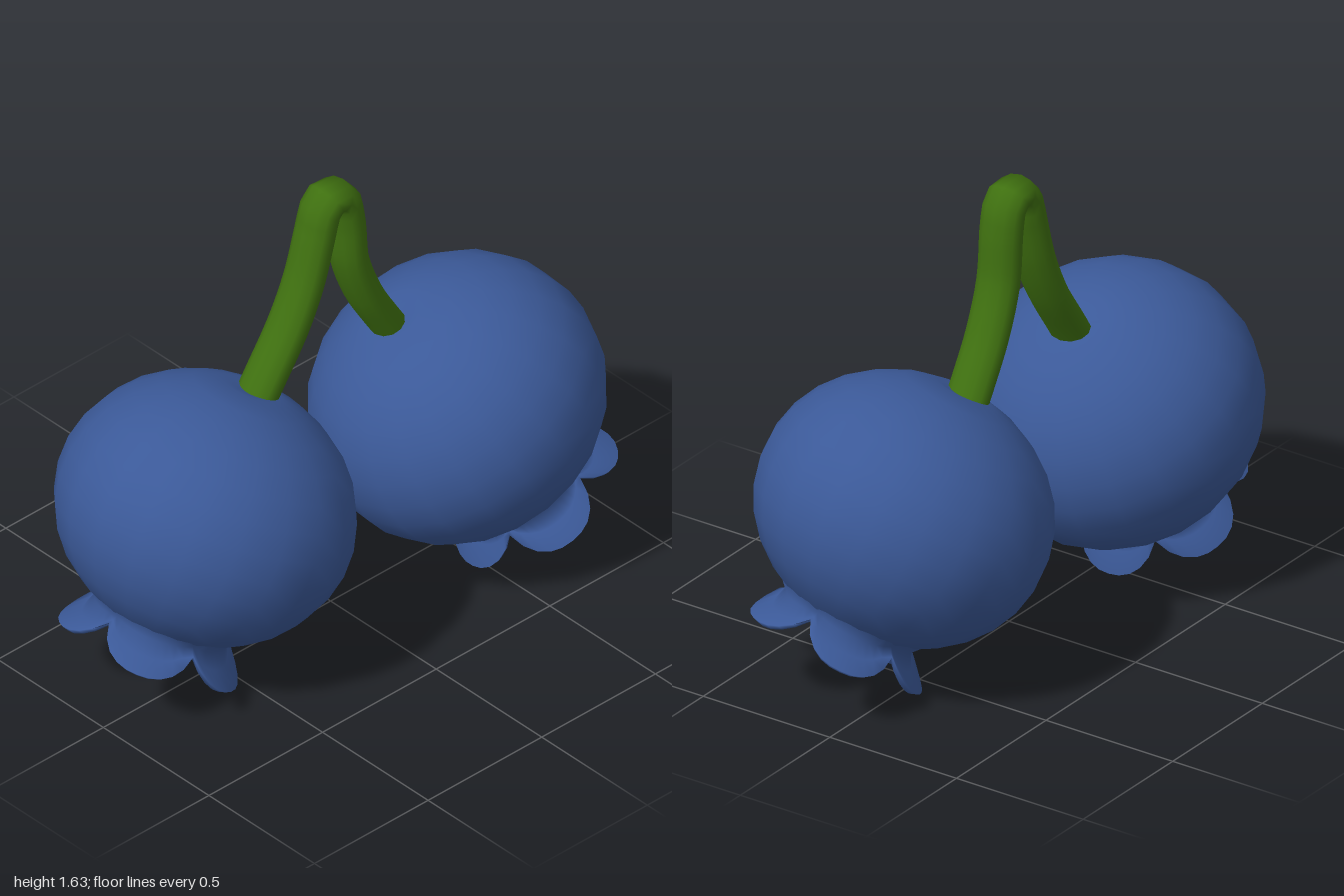
import * as THREE from 'three';

const berryBlue = new THREE.MeshStandardMaterial({ color: 0x3b5998, side: THREE.DoubleSide });
berryBlue.name = 'berryBlue';
const stemGreen = new THREE.MeshStandardMaterial({ color: 0x3f7010 });
stemGreen.name = 'stemGreen';

// Oblate berry body: open under the crown, dimpled at the stem
function bodyGeometry() {
  const points = [];
  const start = Math.asin(0.21 / 0.5), steps = 12;
  for (let i = 0; i <= steps; i++) {
    const a = start + (Math.PI - 0.2 - start) * (i / steps);
    points.push(new THREE.Vector2(0.5 * Math.sin(a), -0.44 * Math.cos(a)));
  }
  points.push(new THREE.Vector2(0, 0.415));
  return new THREE.LatheGeometry(points, 20);
}

// Five-petalled crown: each section is [valley radius, valley depth, tip radius, tip depth]
const sections = [
  [0.27, 0.36, 0.27, 0.36],
  [0.225, 0.395, 0.225, 0.41],
  [0.235, 0.41, 0.25, 0.465],
  [0.25, 0.42, 0.315, 0.512],
  [0.235, 0.425, 0.29, 0.522],
  [0.21, 0.41, 0.22, 0.46],
  [0.17, 0.39, 0.17, 0.39],
  [0.08, 0.365, 0.08, 0.365],
  [0, 0.36, 0, 0.36],
];

function crownGeometry(valleyAngle) {
  const n = 50, positions = [], index = [];
  sections.forEach(([vr, vd, tr, td], j) => {
    for (let i = 0; i < n; i++) {
      const t = i / n;
      const u = Math.abs(((t * 5) % 1) * 2 - 1);
      const petal = 1 - Math.pow(u, 2.5);
      const angle = valleyAngle + t * Math.PI * 2;
      const r = THREE.MathUtils.lerp(vr, tr, petal);
      const depth = THREE.MathUtils.lerp(vd, td, petal);
      positions.push(r * Math.cos(angle), -depth, r * Math.sin(angle));
      if (j < sections.length - 1) {
        const a = j * n + i, b = j * n + (i + 1) % n;
        index.push(a, b, a + n, b, b + n, a + n);
      }
    }
  });
  const geometry = new THREE.BufferGeometry();
  geometry.setAttribute('position', new THREE.Float32BufferAttribute(positions, 3));
  geometry.setIndex(index);
  geometry.computeVertexNormals();
  return geometry;
}

function makeBerry(name, center, axis, valleyAngle) {
  const berry = new THREE.Group();
  berry.name = name;
  const body = new THREE.Mesh(bodyGeometry(), berryBlue);
  body.name = name + 'Body';
  const crown = new THREE.Mesh(crownGeometry(valleyAngle), berryBlue);
  crown.name = name + 'Crown';
  berry.add(body, crown);
  berry.position.set(...center);
  berry.quaternion.setFromUnitVectors(
    new THREE.Vector3(0, -1, 0), new THREE.Vector3(...axis).normalize());
  return berry;
}

// Forked stem: one arched tube, wider front to back
function makeStem() {
  const path = [
    [-0.31, 0.91], [-0.25, 1.0], [-0.145, 1.16], [-0.075, 1.31], [-0.025, 1.48], [0.0, 1.56],
    [0.04, 1.588],
    [0.085, 1.56], [0.105, 1.48], [0.123, 1.3], [0.185, 1.13], [0.26, 1.0], [0.31, 0.92],
  ].map(([x, y]) => new THREE.Vector3(x, y, 0));
  const stem = new THREE.Mesh(
    new THREE.TubeGeometry(new THREE.CatmullRomCurve3(path), 36, 0.057, 12), stemGreen);
  stem.name = 'stem';
  stem.scale.z = 1.35;
  stem.position.z = -0.045;
  return stem;
}

export function createModel() {
  const model = new THREE.Group();
  model.name = 'berryPair';
  model.add(
    makeBerry('leftBerry', [0.5, 0.6, 0.06], [0.21, -0.4, 0.1], 0),
    makeBerry('rightBerry', [-0.5, 0.6, -0.055], [-0.21, -0.4, -0.01], Math.PI),
    makeStem());
  return model;
}
